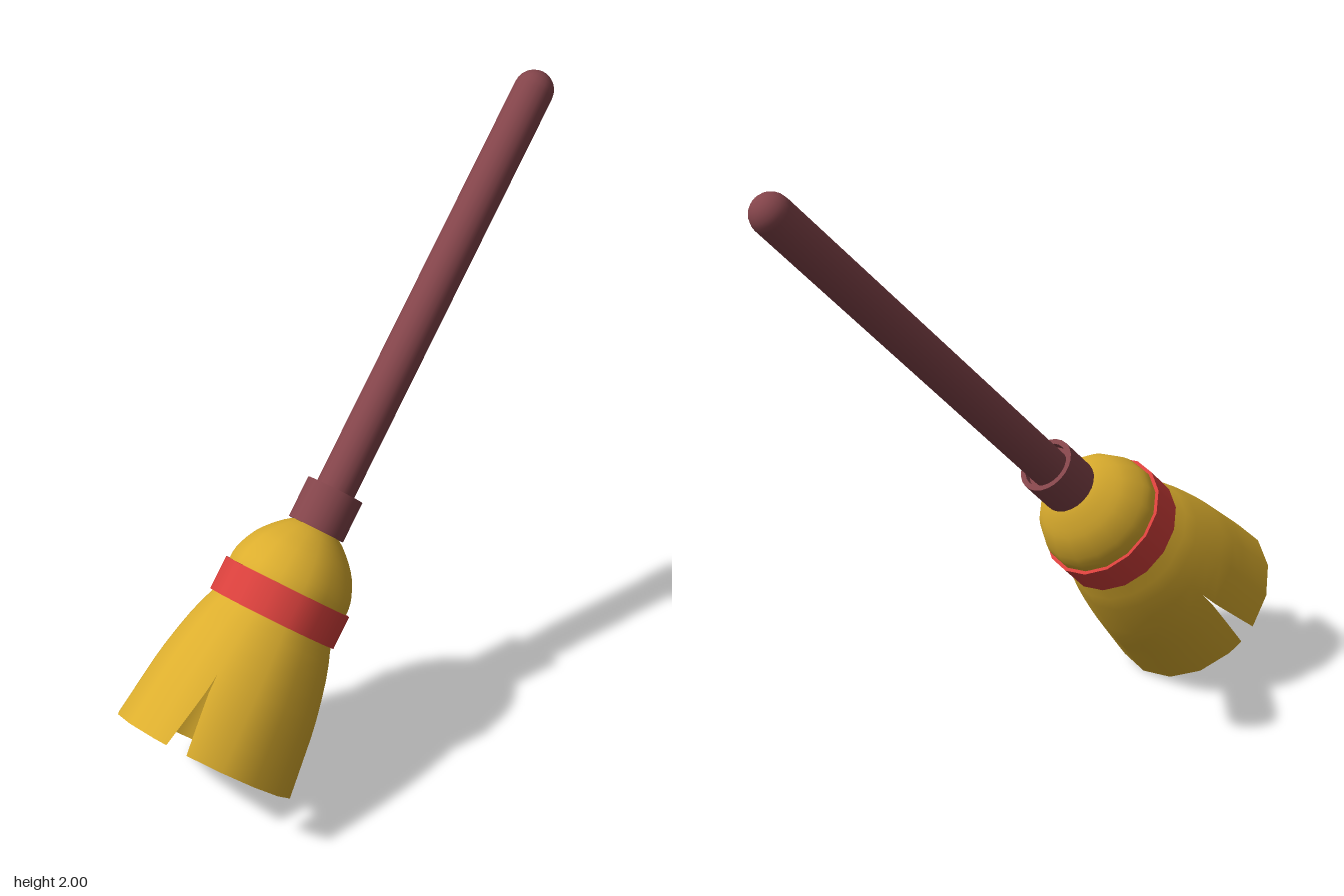
import * as THREE from 'three';

const SIDES = 16;
const rad = THREE.MathUtils.degToRad;

// Lathe whose corners are sharp (each corner point is doubled)
function sharpLathe(points, sides = SIDES) {
  const pts = [];
  points.forEach(([r, y], i) => {
    pts.push(new THREE.Vector2(r, y));
    if (i > 0 && i < points.length - 1) pts.push(new THREE.Vector2(r, y));
  });
  return new THREE.LatheGeometry(pts, sides);
}

// Closed ring with a rectangular section
function ring(rOut, rIn, y0, y1, sides) {
  return sharpLathe([[rOut, y0], [rOut, y1], [rIn, y1], [rIn, y0], [rOut, y0]], sides);
}

// Hollow flared skirt with V-shaped slits cut up from the bottom edge
function skirtGeometry() {
  const curve = new THREE.SplineCurve([[0.313, 0], [0.298, 0.12], [0.28, 0.25], [0.246, 0.4], [0.212, 0.5], [0.205, 0.56]]
    .map(p => new THREE.Vector2(...p)));
  const slitTop = 0.235;
  const slits = [[22.5, 35], [157.5, 171], [270, 282]];

  // Columns: regular ones, plus a left and right edge for each slit
  const columns = [];
  for (let i = 0; i < SIDES; i++) {
    const a = i * 360 / SIDES;
    const slit = slits.find(s => s[0] === a);
    if (!slit) { columns.push({ bottom: a, top: a }); continue; }
    const mid = (slit[0] + slit[1]) / 2;
    columns.push({ bottom: slit[0], top: mid, open: true }, { bottom: slit[1], top: mid });
  }
  columns.push({ bottom: 360, top: 360 });

  const rows = 12, pos = [], nor = [], idx = [];
  for (const c of columns) {
    for (let j = 0; j <= rows; j++) {
      const p = curve.getPoint(j / rows), t = curve.getTangent(j / rows);
      const a = rad(THREE.MathUtils.lerp(c.bottom, c.top, Math.min(1, p.y / slitTop)));
      pos.push(p.x * Math.cos(a), p.y, p.x * Math.sin(a));
      nor.push(t.y * Math.cos(a), -t.x, t.y * Math.sin(a));
    }
  }
  for (let i = 0; i < columns.length - 1; i++) {
    if (columns[i].open) continue;
    for (let j = 0; j < rows; j++) {
      const a = i * (rows + 1) + j, b = a + rows + 1;
      idx.push(a, a + 1, b, b, a + 1, b + 1);
    }
  }
  const g = new THREE.BufferGeometry();
  g.setAttribute('position', new THREE.Float32BufferAttribute(pos, 3));
  g.setAttribute('normal', new THREE.Float32BufferAttribute(nor, 3));
  g.setIndex(idx);
  return g;
}

export function createModel() {
  const material = (name, color, side = THREE.FrontSide) =>
    Object.assign(new THREE.MeshStandardMaterial({ color, side }), { name });
  const wood = material('dark red wood', 0x83444a);
  const straw = material('golden straw', 0xdcae2e, THREE.DoubleSide);
  const red = material('red band', 0xd8403c);

  const broom = new THREE.Group();
  broom.name = 'broom';
  const add = (name, geometry, mat) => {
    const mesh = new THREE.Mesh(geometry, mat);
    mesh.name = name;
    broom.add(mesh);
    return mesh;
  };

  // Straw head: flared skirt below the band, rounded shoulder above it
  add('bristles', skirtGeometry(), straw);
  const shoulder = new THREE.SplineCurve([[0.205, 0.55], [0.213, 0.61], [0.205, 0.66], [0.177, 0.72], [0.14, 0.765], [0.095, 0.805], [0.05, 0.83]]
    .map(p => new THREE.Vector2(...p)));
  add('bristleShoulder', new THREE.LatheGeometry(shoulder.getPoints(14), SIDES), straw);

  // Band tied around the straw
  add('band', ring(0.225, 0.205, 0.49, 0.605), red);

  // Socket and round-ended stick
  add('collar', ring(0.098, 0.08, 0.812, 0.955, 24), wood);
  add('collarFloor', new THREE.CylinderGeometry(0.085, 0.085, 0.1, 24).translate(0, 0.88, 0), wood);
  const r = 0.067, top = 2.418, profile = [new THREE.Vector2(r, 0.85)];
  for (let i = 0; i <= 6; i++) {
    const a = i / 6 * Math.PI / 2;
    profile.push(new THREE.Vector2(r * Math.cos(a), top + r * Math.sin(a)));
  }
  add('handle', new THREE.LatheGeometry(profile, 20), wood);

  // Lean the whole broom over at 45 degrees
  broom.rotation.z = -Math.PI / 4;
  broom.position.set(-0.779, 0.222, 0);
  const model = new THREE.Group();
  model.name = 'leaningBroom';
  model.add(broom);
  return model;
}
